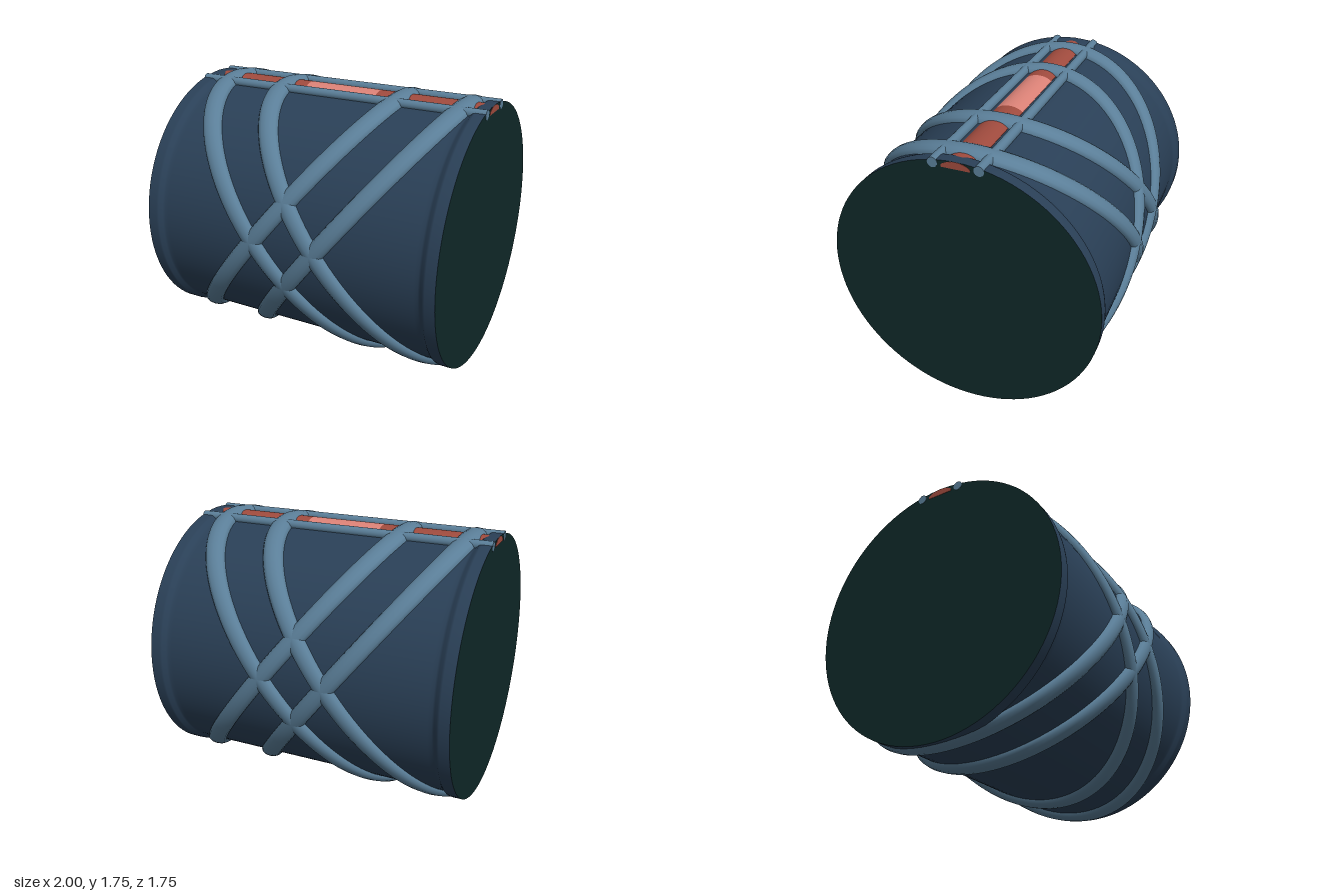
import * as THREE from 'three';

const R = 0.873;   // outer radius of the bands
const CY = 0.873;  // height of the barrel axis

const material = (name, color) => {
  const m = new THREE.MeshStandardMaterial({ color });
  m.name = name;
  return m;
};

// Band around the barrel in a slanted plane: x goes from xTop to xBottom
function bandGeometry(xTop, xBottom) {
  const profile = [
    [-0.073, 0.815], [-0.071, 0.838], [-0.06, 0.856], [-0.035, 0.869], [0, R],
    [0.035, 0.869], [0.06, 0.856], [0.071, 0.838], [0.073, 0.815],
  ];
  const steps = 128, n = profile.length;
  const mid = (xTop + xBottom) / 2, half = (xTop - xBottom) / 2;
  const positions = [], index = [];
  for (let i = 0; i < steps; i++) {
    const t = (i / steps) * Math.PI * 2;
    for (const [w, r] of profile) {
      positions.push(mid + half * Math.cos(t) + w, r * Math.cos(t), r * Math.sin(t));
    }
    for (let j = 0; j < n - 1; j++) {
      const a = i * n + j, b = ((i + 1) % steps) * n + j;
      index.push(a, b, b + 1, a, b + 1, a + 1);
    }
  }
  const g = new THREE.BufferGeometry();
  g.setAttribute('position', new THREE.Float32BufferAttribute(positions, 3));
  g.setIndex(index);
  g.computeVertexNormals();
  return g;
}

// Low rounded strip running along x from x0 to x1
function stripGeometry(x0, x1) {
  const s = new THREE.Shape();
  s.moveTo(-0.086, 0.812);
  s.lineTo(0.086, 0.812);
  s.lineTo(0.086, 0.828);
  s.quadraticCurveTo(0.05, 0.856, 0, 0.856);
  s.quadraticCurveTo(-0.05, 0.856, -0.086, 0.828);
  s.closePath();
  const g = new THREE.ExtrudeGeometry(s, { depth: x1 - x0, bevelEnabled: false, curveSegments: 8 });
  g.rotateY(Math.PI / 2);
  g.translate(x0, 0, 0);
  return g;
}

export function createModel() {
  const group = new THREE.Group();
  group.name = 'bandedBarrel';
  const navy = material('navy', 0x2a4057);
  const steel = material('steelBlue', 0x5b7f99);
  const red = material('brickRed', 0xa04b3e);
  const pale = material('paleRed', 0xdc8277);
  const dark = material('darkGreen', 0x0f2828);

  const barrel = new THREE.Group();
  barrel.name = 'barrel';
  barrel.position.y = CY;
  group.add(barrel);
  const add = (name, geometry, mat) => {
    const mesh = new THREE.Mesh(geometry, mat);
    mesh.name = name;
    barrel.add(mesh);
    return mesh;
  };

  // Shell with a raised lip at both ends
  const end = [[0.856, 0.998], [0.856, 0.935], [0.853, 0.92], [0.835, 0.9], [0.83, 0.885], [0.83, 0.86]];
  const outline = [
    ...end.map(([r, x]) => new THREE.Vector2(r, -x)),
    ...end.slice().reverse().map(([r, x]) => new THREE.Vector2(r, x)),
  ];
  add('shell', new THREE.LatheGeometry(outline, 96).rotateZ(-Math.PI / 2), navy);

  for (const s of [-1, 1]) {
    // End discs
    const disc = new THREE.CircleGeometry(0.856, 96).rotateY(s * Math.PI / 2);
    add('endDisc', disc.translate(s * 0.998, 0, 0), dark);

    // Crossing bands
    add('outerBand', bandGeometry(s * 0.83, s * -0.48), steel);
    add('innerBand', bandGeometry(s * 0.41, s * -0.91), steel);

    // Rails beside the strip
    const rail = new THREE.CylinderGeometry(0.031, 0.031, 2, 16).rotateZ(Math.PI / 2);
    add('rail', rail.translate(0, 0.829, s * 0.138), steel);
  }

  // Strip along the top with a lighter middle
  add('stripRight', stripGeometry(-1, -0.25), red);
  add('stripMiddle', stripGeometry(-0.25, 0.25), pale);
  add('stripLeft', stripGeometry(0.25, 1), red);

  return group;
}
